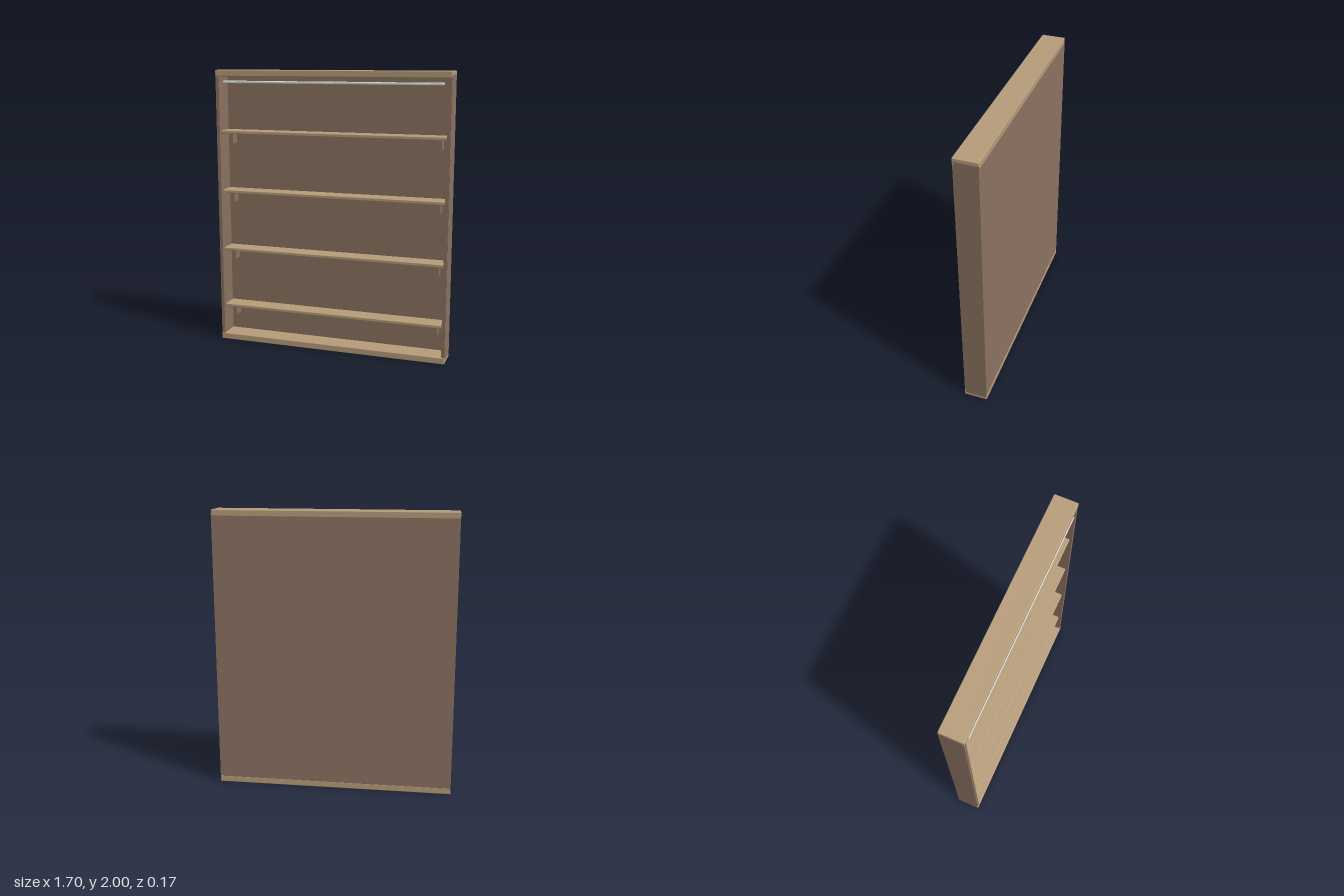
import * as THREE from 'three';
import { RoundedBoxGeometry } from 'three/addons/geometries/RoundedBoxGeometry.js';

const paint = (name, color) => {
  const m = new THREE.MeshStandardMaterial({ color });
  m.name = name;
  return m;
};

export function createModel() {
  const group = new THREE.Group();
  const wood = paint('light wood', 0xb89d7a);
  const panel = paint('brown panel', 0x8c7361);
  const metal = paint('pale metal', 0xd0d4d0);

  // Boxes are given by their [min, max] along each axis; a radius rounds the edges
  const box = (name, material, [x0, x1], [y0, y1], [z0, z1], radius = 0) => {
    const size = [x1 - x0, y1 - y0, z1 - z0];
    const geometry = radius
      ? new RoundedBoxGeometry(...size, 2, radius)
      : new THREE.BoxGeometry(...size);
    const mesh = new THREE.Mesh(geometry, material);
    mesh.name = name;
    mesh.position.set((x0 + x1) / 2, (y0 + y1) / 2, (z0 + z1) / 2);
    group.add(mesh);
  };

  // Top and bottom boards
  box('topBoard', wood, [-0.847, 0.847], [1.955, 2], [-0.0835, 0.0835], 0.005);
  box('bottomBoard', wood, [-0.847, 0.847], [0, 0.045], [-0.0835, 0.0835], 0.005);

  // Back panel
  box('backPanel', panel, [-0.84, 0.84], [0.025, 1.975], [-0.0825, -0.068]);

  // Side panels, each with a front edge strip
  for (const [side, s] of [['left', 1], ['right', -1]]) {
    const span = (a, b) => (s > 0 ? [a, b] : [-b, -a]);
    box(side + 'SidePanel', panel, span(0.823, 0.8475), [0.025, 1.975], [-0.0825, 0.071]);
    box(side + 'FrontStrip', panel, span(0.822, 0.846), [0.045, 1.955], [0.071, 0.08]);
  }

  // Shelves with a bracket near each end
  for (let i = 0; i < 4; i++) {
    const y = 0.248 + i * 0.433;
    box('shelf', wood, [-0.823, 0.823], [y, y + 0.023], [-0.07, 0.062], 0.005);
    for (const x of [-0.767, 0.767]) {
      box('shelfBracket', panel, [x - 0.01, x + 0.01], [y - 0.075, y + 0.002], [-0.07, 0]);
    }
  }

  // Light bar under the top board
  box('lightHousing', metal, [-0.79, 0.79], [1.911, 1.924], [0.032, 0.072], 0.003);
  box('lightFrontLip', metal, [-0.79, 0.79], [1.907, 1.921], [0.07, 0.0835], 0.004);

  return group;
}
